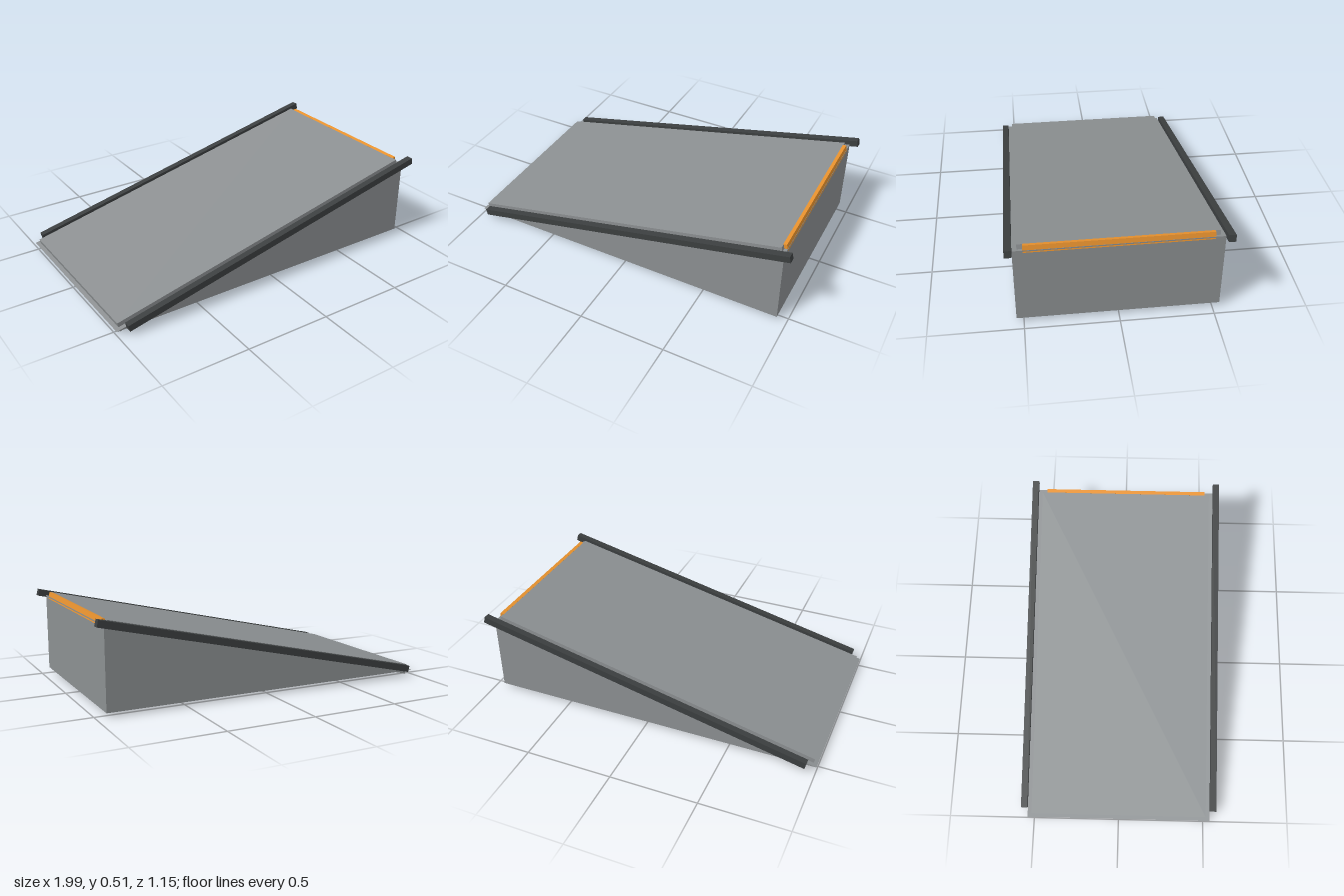
import * as THREE from 'three';

export function createModel() {
  const model = new THREE.Group();
  model.name = 'ramp';
  const grey = new THREE.MeshStandardMaterial({ color: 0x8c9092 });
  const dark = new THREE.MeshStandardMaterial({ color: 0x3c3f40 });
  const orange = new THREE.MeshStandardMaterial({ color: 0xe8922e });

  const slope = Math.atan2(0.45, 1.945);

  // Solid wedge body, extruded across the width
  const profile = new THREE.Shape([
    new THREE.Vector2(-1, 0.025),
    new THREE.Vector2(0.945, 0.025),
    new THREE.Vector2(0.945, 0.475),
  ]);
  const wedgeGeometry = new THREE.ExtrudeGeometry(profile, { depth: 1.076, bevelEnabled: false });
  wedgeGeometry.translate(0, 0, -0.538);
  const wedge = new THREE.Mesh(wedgeGeometry, grey);
  wedge.name = 'wedgeBody';
  model.add(wedge);

  // Box lying along the slope, placed by its upper low-end corner (x, y)
  function slopedBox(name, material, x, y, length, thickness, width, z = 0) {
    const geometry = new THREE.BoxGeometry(length, thickness, width);
    geometry.translate(length / 2, -thickness / 2, 0);
    const mesh = new THREE.Mesh(geometry, material);
    mesh.name = name;
    mesh.position.set(x, y, z);
    mesh.rotation.z = slope;
    model.add(mesh);
  }

  // Running surface and the coloured lip at its top edge
  slopedBox('deck', grey, -0.983, 0.056, 1.953, 0.057, 1.026);
  slopedBox('topEdgeStrip', orange, 0.917, 0.496, 0.021, 0.04, 0.97);

  // Side rails
  for (const side of [1, -1]) {
    slopedBox(side > 0 ? 'frontRail' : 'backRail', dark, -0.951, 0.064, 1.988, 0.038, 0.038, side * 0.557);
  }

  return model;
}
